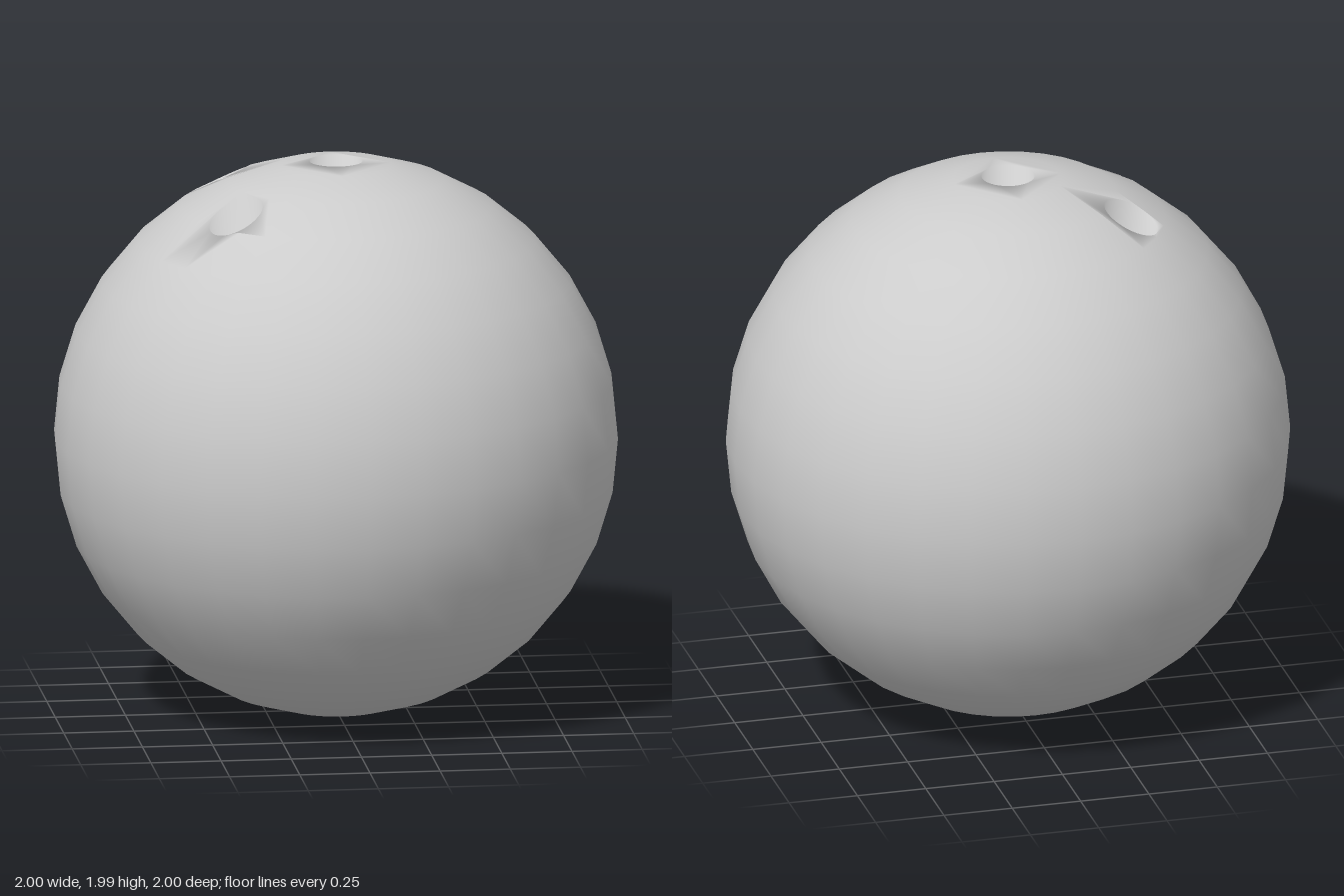
import * as THREE from 'three';

const SEGS = 32, RINGS = 16, HOLE_SIDES = 32;
const HOLE_RADIUS = 0.095, HOLE_DEPTH = 0.5;
const CENTRE_Y = 1;

// Each hole replaces a patch of sphere cells; outline lists [ring, segment] corners,
// cells lists the [ring, first segment, last segment] runs that are left out.
const HOLES = [
  {
    name: 'thumbHole', x: 0, z: 0,
    outline: Array.from({ length: SEGS }, (_, s) => [1, s]),
    cells: [[0, 0, 31]],
  },
  {
    name: 'backFingerHole', x: -0.39, z: -0.227,
    outline: [[1, 28], [1, 29], [1, 30], [1, 31], [2, 31], [3, 31], [3, 30], [3, 29], [3, 28], [2, 28]],
    cells: [[1, 28, 30], [2, 28, 30]],
  },
  {
    name: 'frontFingerHole', x: -0.39, z: 0.285,
    outline: [[2, 2], [2, 3], [2, 4], [2, 5], [3, 5], [3, 4], [4, 4], [4, 3], [4, 2], [3, 2]],
    cells: [[2, 2, 4], [3, 2, 3]],
  },
];

// Collects vertices with their normals and triangles into one geometry
class Builder {
  constructor() {
    this.positions = [];
    this.normals = [];
    this.index = [];
  }
  vertex(p, n) {
    this.positions.push(p.x, p.y, p.z);
    this.normals.push(n.x, n.y, n.z);
    return this.positions.length / 3 - 1;
  }
  // Adds a triangle, turned so that it faces along its vertex normals
  triangle(a, b, c) {
    const get = (list, i) => new THREE.Vector3().fromArray(list, i * 3);
    const [pa, pb, pc] = [a, b, c].map((i) => get(this.positions, i));
    const face = pb.sub(pa).cross(pc.sub(pa));
    const average = get(this.normals, a).add(get(this.normals, b)).add(get(this.normals, c));
    if (face.dot(average) >= 0) this.index.push(a, b, c);
    else this.index.push(a, c, b);
  }
  quad(a, b, c, d) {
    this.triangle(a, b, c);
    this.triangle(a, c, d);
  }
  mesh(name, material) {
    const geometry = new THREE.BufferGeometry();
    geometry.setAttribute('position', new THREE.Float32BufferAttribute(this.positions, 3));
    geometry.setAttribute('normal', new THREE.Float32BufferAttribute(this.normals, 3));
    geometry.setIndex(this.index);
    const mesh = new THREE.Mesh(geometry, material);
    mesh.name = name;
    return mesh;
  }
}

function spherePoint(ring, seg) {
  const t = (ring / RINGS) * Math.PI, a = (seg / SEGS) * Math.PI * 2;
  return new THREE.Vector3(-Math.sin(t) * Math.cos(a), Math.cos(t), Math.sin(t) * Math.sin(a));
}

const lift = (p) => p.clone().setY(p.y + CENTRE_Y);

// Rim points where a vertical bore meets the sphere, with normals softened into the bore
function rimOf(hole) {
  return Array.from({ length: HOLE_SIDES }, (_, i) => {
    const a = (i / HOLE_SIDES) * Math.PI * 2;
    const inward = new THREE.Vector3(-Math.cos(a), 0, -Math.sin(a));
    const x = hole.x - inward.x * HOLE_RADIUS, z = hole.z - inward.z * HOLE_RADIUS;
    const point = new THREE.Vector3(x, Math.sqrt(1 - x * x - z * z) - 0.003, z);
    return { point, inward, normal: point.clone().add(inward).normalize() };
  });
}

function buildBall(material) {
  const b = new Builder();
  const ids = [];
  for (let r = 0; r <= RINGS; r++) {
    ids.push([]);
    for (let s = 0; s < SEGS; s++) {
      const p = spherePoint(r, s);
      ids[r].push(b.vertex(lift(p), p));
    }
  }

  // Sphere cells away from the holes
  const isCut = (r, s) => HOLES.some((h) =>
    h.cells.some(([ring, first, last]) => r === ring && s >= first && s <= last));
  for (let r = 0; r < RINGS; r++) {
    for (let s = 0; s < SEGS; s++) {
      if (isCut(r, s)) continue;
      const n = (s + 1) % SEGS;
      if (r === RINGS - 1) b.triangle(ids[r][s], ids[r + 1][s], ids[r][n]);
      else b.quad(ids[r][s], ids[r + 1][s], ids[r + 1][n], ids[r][n]);
    }
  }

  // Patches joining the sphere grid to each round rim
  for (const hole of HOLES) {
    const rim = rimOf(hole);
    const flat = (p) => new THREE.Vector2(p.x, p.z);
    const outline = hole.outline.map(([r, s]) => flat(spherePoint(r, s)));
    const all = [
      ...hole.outline.map(([r, s]) => ids[r][s]),
      ...rim.map((v) => b.vertex(lift(v.point), v.normal)),
    ];
    const faces = THREE.ShapeUtils.triangulateShape(outline, [rim.map((v) => flat(v.point))]);
    for (const [i, j, k] of faces) b.triangle(all[i], all[j], all[k]);
  }
  return b.mesh('ball', material);
}

// Bore wall and floor
function buildHole(hole, material) {
  const b = new Builder();
  const rim = rimOf(hole);
  const up = new THREE.Vector3(0, 1, 0);
  const floorY = Math.sqrt(1 - hole.x ** 2 - hole.z ** 2) + CENTRE_Y - HOLE_DEPTH;
  const top = rim.map((v) => b.vertex(lift(v.point), v.normal));
  const low = rim.map((v) =>
    b.vertex(v.point.clone().setY(floorY), v.inward.clone().add(up).normalize()));
  const middle = b.vertex(new THREE.Vector3(hole.x, floorY, hole.z), up);
  for (let i = 0; i < HOLE_SIDES; i++) {
    const n = (i + 1) % HOLE_SIDES;
    b.quad(top[i], low[i], low[n], top[n]);
    b.triangle(low[i], middle, low[n]);
  }
  return b.mesh(hole.name, material);
}

export function createModel() {
  const group = new THREE.Group();
  group.name = 'drilledBall';
  const material = new THREE.MeshStandardMaterial({ color: 0xcccccc });
  group.add(buildBall(material));
  for (const hole of HOLES) group.add(buildHole(hole, material));
  return group;
}
